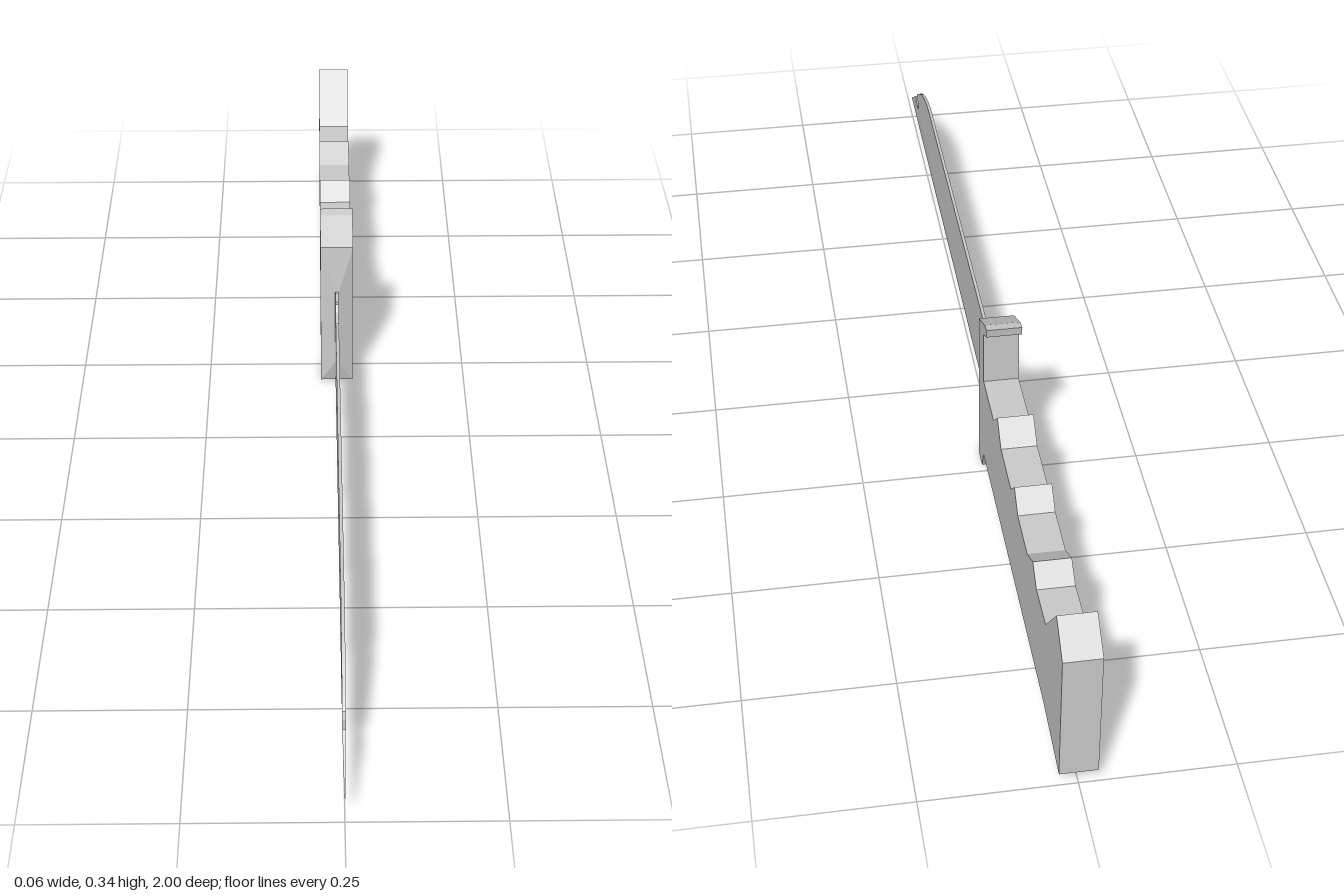
import * as THREE from 'three';

const material = new THREE.MeshStandardMaterial({ color: 0xcccccc, flatShading: true });

// Extrude a side outline, given as [z, y] pairs, to a width centred on x = 0
function slab(name, shape, width) {
  const geometry = new THREE.ExtrudeGeometry(shape, { depth: width, bevelEnabled: false, curveSegments: 10 });
  geometry.rotateY(-Math.PI / 2);
  geometry.translate(width / 2, 0, 0);
  const mesh = new THREE.Mesh(geometry, material);
  mesh.name = name;
  return mesh;
}

const outline = (points) => new THREE.Shape(points.map(([z, y]) => new THREE.Vector2(z, y)));

function createBlade() {
  const shape = new THREE.Shape();
  shape.moveTo(-0.19, 0.048);
  shape.lineTo(1, 0.05);
  // notch behind the tip
  shape.lineTo(0.91, 0.106);
  shape.lineTo(0.88, 0.098);
  shape.lineTo(0.863, 0.101);
  shape.lineTo(0.87, 0.112);
  shape.lineTo(0.888, 0.122);
  // curved clip up to the spine
  shape.quadraticCurveTo(0.79, 0.192, 0.69, 0.2);
  shape.lineTo(-0.088, 0.2);
  // small hook near the guard
  [[-0.105, 0.189], [-0.135, 0.194], [-0.147, 0.205], [-0.142, 0.214], [-0.12, 0.22],
    [-0.12, 0.227], [-0.147, 0.227], [-0.19, 0.206]].forEach(([z, y]) => shape.lineTo(z, y));
  shape.closePath();
  const blade = slab('blade', shape, 0.006);
  // thin the blade toward its tip
  const p = blade.geometry.attributes.position;
  for (let i = 0; i < p.count; i++) if (p.getZ(i) > 0.95) p.setX(i, p.getX(i) * 0.3);
  blade.geometry.computeVertexNormals();
  return blade;
}

// Shallow tapered collar from the guard's front face to the blade root
function createCollar() {
  const ring = (x, y0, y1, z) => [[-x, y0, z], [x, y0, z], [x, y1, z], [-x, y1, z]];
  const outer = ring(0.031, 0, 0.302, -0.195);
  const inner = ring(0.003, 0.047, 0.205, -0.185);
  const positions = [];
  for (let i = 0; i < 4; i++) {
    const j = (i + 1) % 4;
    positions.push(...outer[i], ...outer[j], ...inner[j], ...outer[i], ...inner[j], ...inner[i]);
  }
  positions.push(...inner[0], ...inner[1], ...inner[2], ...inner[0], ...inner[2], ...inner[3]);
  const geometry = new THREE.BufferGeometry();
  geometry.setAttribute('position', new THREE.Float32BufferAttribute(positions, 3));
  geometry.computeVertexNormals();
  const mesh = new THREE.Mesh(geometry, material);
  mesh.name = 'guardCollar';
  return mesh;
}

export function createModel() {
  const knife = new THREE.Group();
  knife.name = 'knife';

  // Guard with a backward hook on top and a chamfered foot
  const guard = outline([
    [-0.195, 0], [-0.195, 0.302], [-0.26, 0.335], [-0.28, 0.338], [-0.278, 0.322],
    [-0.25, 0.307], [-0.25, 0.04], [-0.232, 0],
  ]);

  // Grip with three ridges and a flared pommel
  const ridges = [[-0.36, -0.4, -0.44, 0.243], [-0.54, -0.575, -0.61, 0.238], [-0.7, -0.75, -0.785, 0.234]];
  const grip = [[-0.25, 0.04], [-0.25, 0.205]];
  for (const [start, peak, end, height] of ridges) grip.push([start, 0.205], [peak, height], [end, 0.207]);
  grip.push([-0.865, 0.21], [-0.947, 0.307], [-1, 0.262], [-1, 0.024], [-0.865, 0.04]);

  knife.add(createBlade(), createCollar(), slab('guard', guard, 0.062), slab('grip', outline(grip), 0.062));
  return knife;
}
